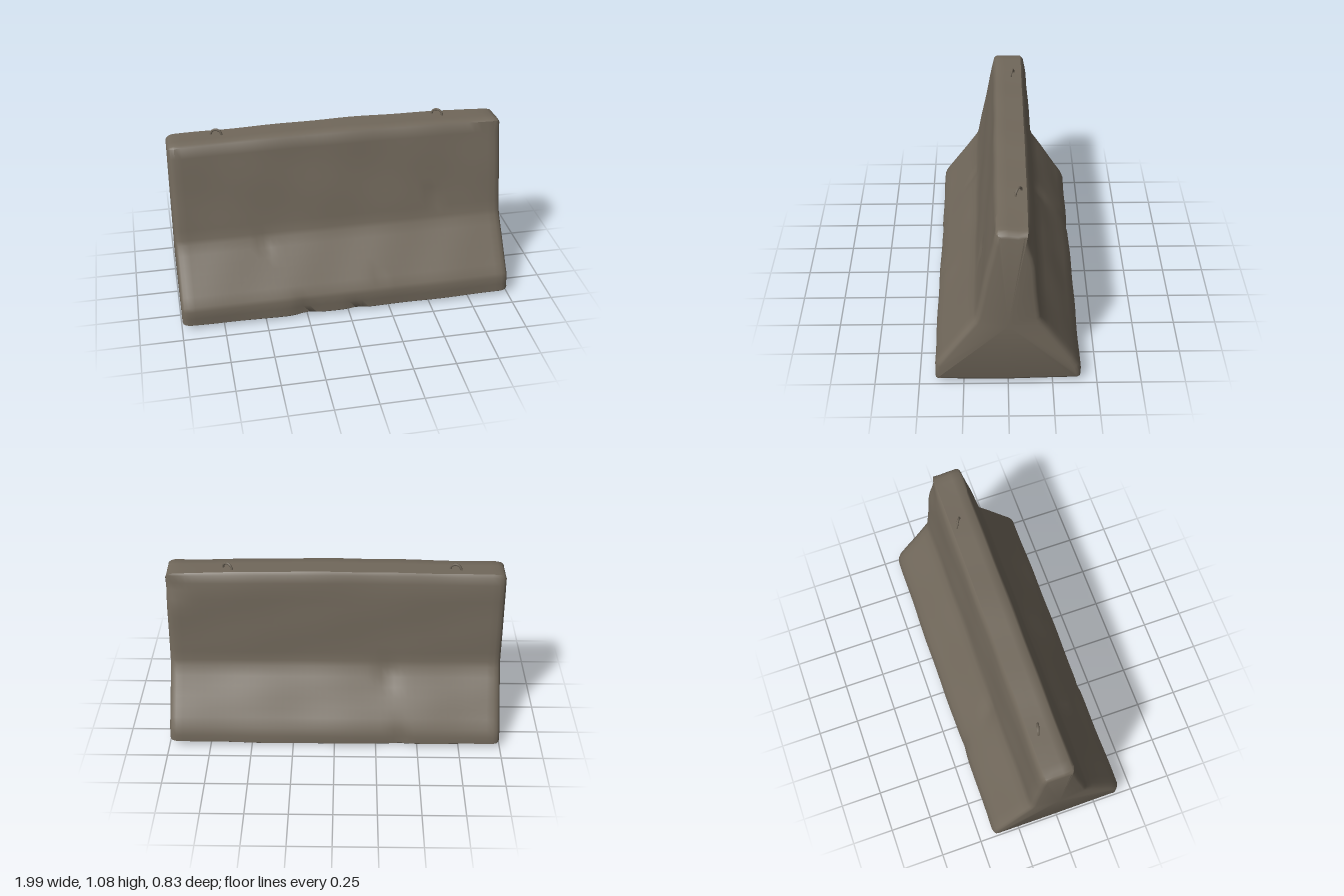
import * as THREE from 'three';
import { toCreasedNormals } from 'three/addons/utils/BufferGeometryUtils.js';

// Cross-section corners [z, y], running up the front and down the back
const PROFILE = [
  [0, 0.01], [0.395, 0.02], [0.41, 0.032], [0.41, 0.125], [0.4, 0.15], [0.19, 0.447], [0.178, 0.475],
  [0.066, 1.025], [0.052, 1.035], [-0.104, 1.035], [-0.118, 1.02], [-0.136, 0.93], [-0.176, 0.475],
  [-0.188, 0.44], [-0.392, 0.125], [-0.408, 0.08], [-0.41, 0.036], [-0.39, 0.02],
];

// Worn dimples: x, y, side of the wall, radius, depth
const DENTS = [
  [0.57, 0.6, 1, 0.03, 0.015], [-0.47, 0.42, 1, 0.03, 0.014], [0.19, 0.18, 1, 0.025, 0.008],
  [-0.28, 0.1, 1, 0.03, 0.01], [-0.25, 0.03, 1, 0.06, 0.014], [0.05, 0.03, 1, 0.05, 0.01],
  [-0.32, 0.4, -1, 0.06, 0.014], [-0.4, 0.08, -1, 0.05, 0.012], [0.97, 0.95, -1, 0.08, 0.02],
];

// Split the long edges so that the surface can undulate
function subdivide(points, step) {
  const out = [];
  points.forEach((a, i) => {
    const b = points[(i + 1) % points.length];
    const n = Math.max(1, Math.round(Math.hypot(b[0] - a[0], b[1] - a[1]) / step));
    for (let k = 0; k < n; k++) out.push([a[0] + (b[0] - a[0]) * k / n, a[1] + (b[1] - a[1]) * k / n]);
  });
  return out;
}

function barrierGeometry() {
  const ring = subdivide(PROFILE, 0.06);
  const m = ring.length;
  // Stations along the length: [x, inset], with rounded ends
  const end = [[0.995, 0.03], [0.99, 0.016], [0.978, 0.006], [0.955, 0]];
  const stations = end.map(([x, d]) => [-x, d]);
  for (let i = 1; i < 48; i++) stations.push([-0.955 + 1.91 * i / 48, 0]);
  stations.push(...end.slice().reverse());

  const pos = [], idx = [];
  for (const [x, inset] of stations) {
    ring.forEach(([z, y], j) => {
      const p = ring[(j + m - 1) % m], q = ring[(j + 1) % m];
      const len = Math.hypot(q[0] - p[0], q[1] - p[1]);
      const nz = (q[1] - p[1]) / len, ny = -(q[0] - p[0]) / len;
      // Gentle unevenness of the cast faces plus the dimples
      let d = -inset + 0.003 * Math.sin(x * 9 + y * 7 + z * 5) * Math.sin(x * 4 - y * 11);
      for (const [dx, dy, side, r, depth] of DENTS) {
        if (z * side > 0) d -= depth * Math.exp(-((x - dx) ** 2 + (y - dy) ** 2) / (r * r));
      }
      // Top crowns in the middle and the underside sags
      const bow = Math.cos(x * Math.PI / 2);
      const lift = y > 0.9 ? 0.014 * bow * (y - 0.9) / 0.135 : y < 0.1 ? -0.012 * bow * (1 - y / 0.1) : 0;
      const shorten = x > 0 ? 1 - 0.01 * y : 1 - 0.003 * y;
      pos.push(x * shorten, Math.max(0, y + ny * d + lift), z + nz * d);
    });
  }
  const rows = stations.length;
  for (let i = 0; i < rows - 1; i++) {
    for (let j = 0; j < m; j++) {
      const a = i * m + j, b = i * m + (j + 1) % m, c = a + m, e = b + m;
      idx.push(a, c, b, b, c, e);
    }
  }
  // End faces fan out from a middle point
  const left = pos.length / 3;
  pos.push(-0.998, 0.42, 0, 0.994, 0.42, 0);
  const last = (rows - 1) * m;
  for (let j = 0; j < m; j++) {
    const k = (j + 1) % m;
    idx.push(left, j, k, left + 1, last + k, last + j);
  }
  const geo = new THREE.BufferGeometry();
  geo.setAttribute('position', new THREE.Float32BufferAttribute(pos, 3));
  geo.setIndex(idx);
  return toCreasedNormals(geo, 0.75);
}

export function createModel() {
  const model = new THREE.Group();
  model.name = 'concreteBarrier';
  const concrete = new THREE.MeshStandardMaterial({ color: 0x71685b });
  concrete.name = 'concrete';

  const body = new THREE.Mesh(barrierGeometry(), concrete);
  body.name = 'barrierBody';
  model.add(body);

  // Bent lifting loops set in the top
  const arch = new THREE.CatmullRomCurve3([
    [-0.034, -0.03], [-0.032, 0.012], [-0.018, 0.033], [0.004, 0.037], [0.024, 0.026], [0.031, 0.006], [0.032, -0.03],
  ].map(([x, y]) => new THREE.Vector3(x, y, 0)));
  const loopGeo = new THREE.TubeGeometry(arch, 20, 0.007, 6);
  [[-0.7, 1.033, -0.047], [0.625, 1.037, -0.058]].forEach(([x, y, z], i) => {
    const loop = new THREE.Mesh(loopGeo, concrete);
    loop.name = i ? 'leftLiftingLoop' : 'rightLiftingLoop';
    loop.position.set(x, y, z);
    loop.rotation.y = i ? -0.55 : -0.3;
    model.add(loop);
  });
  return model;
}
